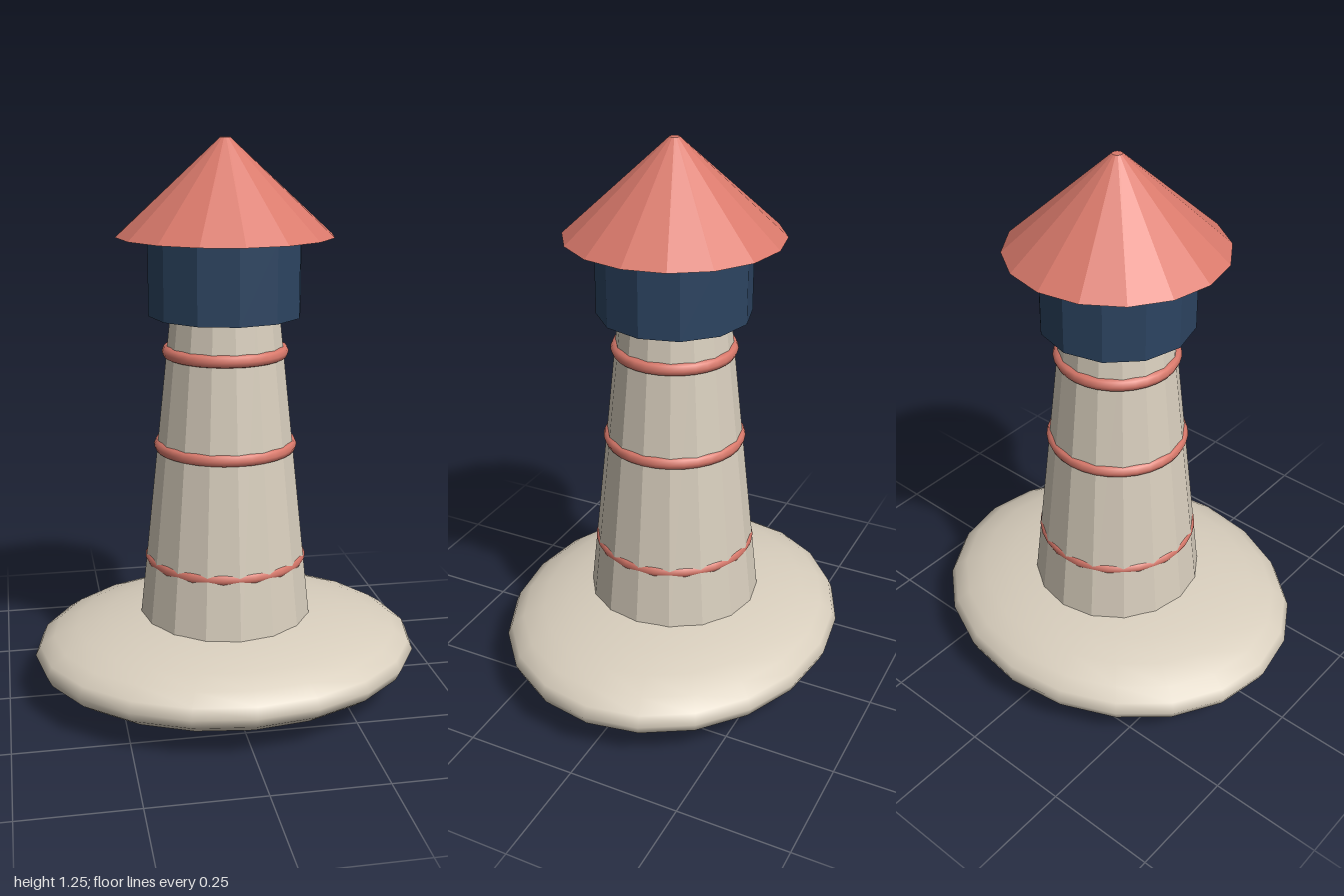
import * as THREE from 'three';

export function createModel() {
  const model = new THREE.Group();
  model.name = 'lighthouse';

  const material = (name, color, flatShading) => {
    const m = new THREE.MeshStandardMaterial({ color, flatShading });
    m.name = name;
    return m;
  };
  const stone = material('cream stone', 0xd8cebd, false);
  const coral = material('coral red', 0xd9796b, false);
  const navy = material('navy blue', 0x2c4461, false);

  // Faceted frustum between two heights, with hard edges between its sides
  const frustum = (name, rTop, rBottom, y0, y1, sides, mat) => {
    const geo = new THREE.CylinderGeometry(rTop, rBottom, y1 - y0, sides).toNonIndexed();
    geo.computeVertexNormals();
    const mesh = new THREE.Mesh(geo, mat);
    mesh.name = name;
    mesh.position.y = (y0 + y1) / 2;
    model.add(mesh);
  };

  // Flattened oval rock
  const rock = new THREE.Mesh(new THREE.SphereGeometry(1, 20, 14), stone);
  rock.name = 'rockBase';
  rock.scale.set(0.438, 0.102, 0.381);
  rock.position.y = 0.108;
  model.add(rock);

  // Tower, lantern room and roof
  frustum('tower', 0.12, 0.2, 0.15, 0.89, 16, stone);
  frustum('lanternRoom', 0.168, 0.168, 0.88, 1.05, 12, navy);
  frustum('roof', 0.011, 0.236, 1.05, 1.255, 16, coral);

  // Rings around the tower
  [[0.33, 0.167], [0.59, 0.144], [0.8, 0.124]].forEach(([y, radius], i) => {
    const ring = new THREE.Mesh(new THREE.TorusGeometry(radius, 0.015, 8, 32), coral);
    ring.name = `towerRing${i + 1}`;
    ring.rotation.x = Math.PI / 2;
    ring.position.y = y;
    model.add(ring);
  });

  return model;
}
